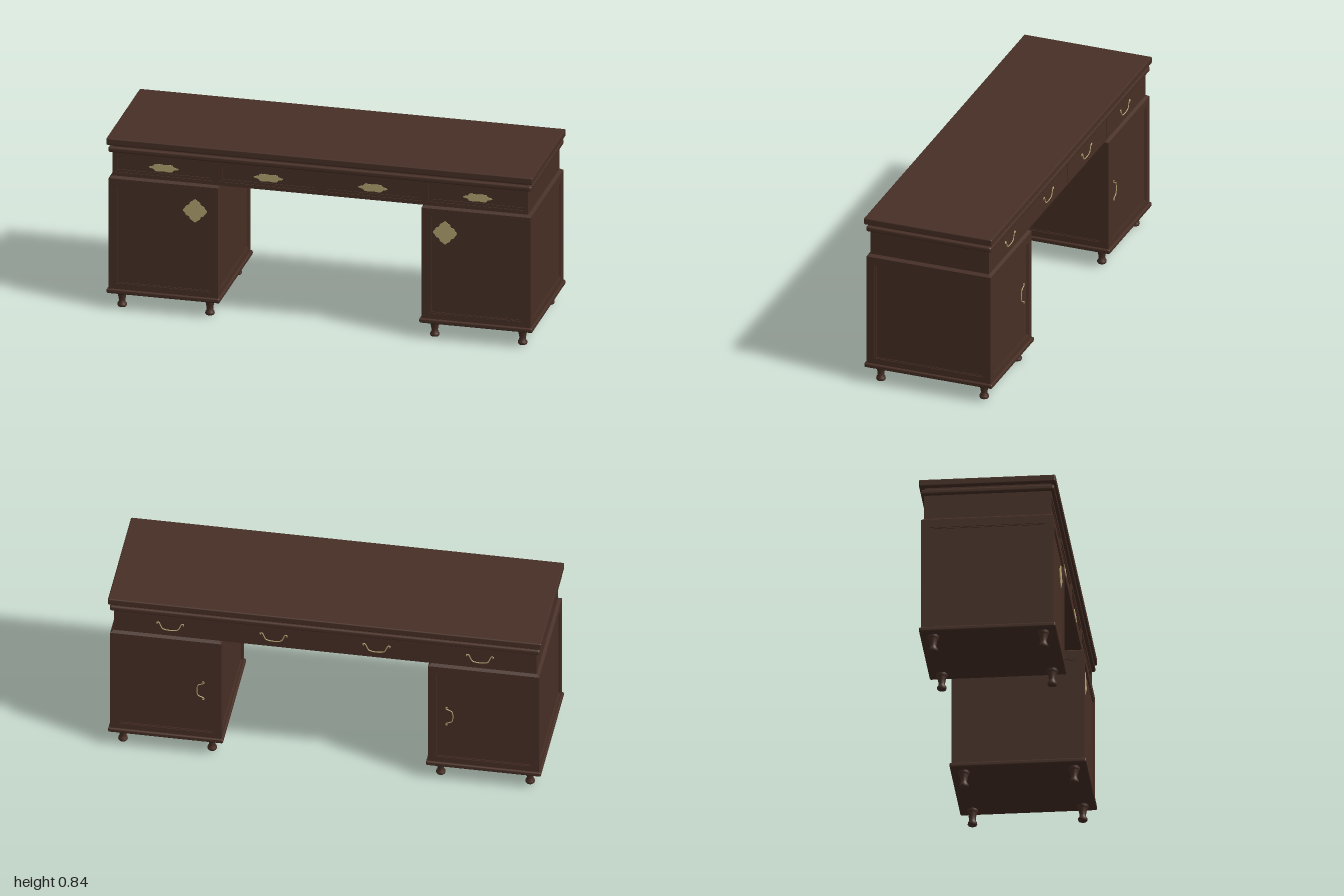
import * as THREE from 'three';
import { RoundedBoxGeometry } from 'three/addons/geometries/RoundedBoxGeometry.js';

const wood = new THREE.MeshStandardMaterial({ color: 0x472f25 });
wood.name = 'dark wood';
const brass = new THREE.MeshStandardMaterial({ color: 0xb5a572 });
brass.name = 'aged brass';

function add(parent, name, geometry, material, x = 0, y = 0, z = 0) {
  const mesh = new THREE.Mesh(geometry, material);
  mesh.name = name;
  mesh.position.set(x, y, z);
  parent.add(mesh);
  return mesh;
}

const box = (w, h, d) => new THREE.BoxGeometry(w, h, d);
const rounded = (w, h, d, r) => new RoundedBoxGeometry(w, h, d, 2, r);

function rectangle(Type, x0, y0, x1, y1) {
  return new Type([[x0, y0], [x1, y0], [x1, y1], [x0, y1]].map(p => new THREE.Vector2(...p)));
}

// Flat board lying in xy with rectangular openings
function framed(outer, holes, depth) {
  const shape = rectangle(THREE.Shape, ...outer);
  holes.forEach(h => shape.holes.push(rectangle(THREE.Path, ...h)));
  return new THREE.ExtrudeGeometry(shape, { depth, bevelEnabled: false });
}

const inset = (r, m) => [r[0] + m, r[1] + m, r[2] - m, r[3] - m];

// Box whose top is drawn in to a smaller rectangle
function taperedBox(w, h, d, topInset) {
  const g = box(w, h, d);
  const p = g.attributes.position;
  for (let i = 0; i < p.count; i++) {
    if (p.getY(i) > 0) {
      p.setX(i, p.getX(i) - Math.sign(p.getX(i)) * topInset);
      p.setZ(i, p.getZ(i) - Math.sign(p.getZ(i)) * topInset);
    }
  }
  g.computeVertexNormals();
  return g;
}

// Thin plate with an outline given by a radius rule
function plate(radius, sx, sy) {
  const points = [];
  for (let i = 0; i < 64; i++) {
    const a = i / 64 * Math.PI * 2;
    points.push(new THREE.Vector2(Math.cos(a) * radius(a) * sx, Math.sin(a) * radius(a) * sy));
  }
  return new THREE.ExtrudeGeometry(new THREE.Shape(points), { depth: 0.003, bevelEnabled: false });
}

// Slim swinging handle with curled ends
function bail() {
  const half = [[0.06, 0.012], [0.063, 0.02], [0.053, 0.021], [0.046, 0.008], [0.036, -0.012], [0.018, -0.018]];
  const path = [...half.map(([x, y]) => [-x, y]), ...half.reverse()];
  const curve = new THREE.CatmullRomCurve3(path.map(([x, y]) => new THREE.Vector3(x, y, 0)));
  return new THREE.TubeGeometry(curve, 40, 0.003, 6);
}

const LEG = [[0, 0], [0.019, 0], [0.022, 0.006], [0.021, 0.014], [0.016, 0.02], [0.015, 0.032],
  [0.018, 0.048], [0.021, 0.06], [0.022, 0.064], [0.026, 0.067], [0.026, 0.08]];

function pedestal(side) {
  const g = new THREE.Group();
  g.name = side > 0 ? 'leftPedestal' : 'rightPedestal';
  const w = 0.513, d = 0.606, t = 0.007;
  add(g, 'cabinet', box(w - 2 * t, 0.55, d - 2 * t), wood, 0, 0.365);
  add(g, 'cabinetCap', taperedBox(w, 0.01, d, 0.013), wood, 0, 0.645);
  add(g, 'baseMoulding', rounded(0.531, 0.022, 0.625, 0.007), wood, 0, 0.089);

  // Panelled frame on all four faces
  for (let i = 0; i < 4; i++) {
    const face = new THREE.Group();
    face.name = ['frontDoor', 'sidePanel', 'backDoor', 'sidePanel'][i];
    face.rotation.y = i * Math.PI / 2;
    g.add(face);
    const across = i % 2 ? d : w, reach = (i % 2 ? w : d) / 2 - t;
    const half = across / 2 - (i % 2 ? t : 0);
    const hole = [0.04 - across / 2, 0.128, across / 2 - 0.04, 0.6];
    add(face, 'frame', framed([-half, 0.09, half, 0.64], [hole], t), wood, 0, 0, reach);
    add(face, 'panelBead', framed(hole, [inset(hole, 0.005)], t / 2), wood, 0, 0, reach);
  }

  // Turned feet
  const foot = new THREE.LatheGeometry(LEG.map(p => new THREE.Vector2(...p)), 20);
  for (const x of [-0.206, 0.206]) for (const z of [-0.252, 0.252]) add(g, 'foot', foot, wood, x, 0, z);

  // Door fittings
  const rosette = plate(a => 0.048 + 0.006 * Math.cos(4 * a) + 0.002 * Math.cos(12 * a), 1, 1);
  add(g, 'doorPlate', rosette, brass, -side * 0.147, side > 0 ? 0.525 : 0.517, d / 2 - t);
  const handle = add(g, 'backDoorHandle', bail(), brass, -side * 0.158, 0.36, -d / 2 + t - 0.001);
  handle.rotation.z = side * Math.PI / 2;
  handle.scale.set(0.8, 0.8, 1);
  g.position.x = side * 0.7335;
  return g;
}

export function createModel() {
  const desk = new THREE.Group();
  desk.name = 'desk';

  // Top and mouldings
  add(desk, 'desktop', rounded(2, 0.033, 0.625, 0.006), wood, 0, 0.8215);
  add(desk, 'neck', box(1.95, 0.02, 0.576), wood, 0, 0.799);
  add(desk, 'upperMoulding', rounded(1.986, 0.026, 0.611, 0.009), wood, 0, 0.78);

  // Drawer case
  const t = 0.008;
  add(desk, 'drawerCase', box(1.95, 0.117, 0.58 - t), wood, 0, 0.7085, -t / 2);
  const centres = [-0.737, -0.245, 0.245, 0.737];
  const openings = centres.map(x => [x - 0.229, 0.668, x + 0.229, 0.748]);
  add(desk, 'drawerFrame', framed([-0.975, 0.65, 0.975, 0.767], openings, t), wood, 0, 0, 0.29 - t);

  const wing = plate(a => 1 + 0.12 * Math.cos(6 * a), 0.062, 0.018);
  const handle = bail();
  centres.forEach((x, i) => {
    const o = openings[i];
    add(desk, 'drawerBead', framed(o, [inset(o, 0.012)], t / 2), wood, 0, 0, 0.29 - t);
    add(desk, 'drawerPlate', wing, brass, x, 0.706, 0.29 - t);
    // Rear drawer fronts
    add(desk, 'rearDrawer', box(0.475, 0.105, 0.001), wood, x * 0.985, 0.7085, -0.2905);
    add(desk, 'rearDrawerHandle', handle, brass, x * 0.97, 0.7, -0.291);
  });

  desk.add(pedestal(1), pedestal(-1));
  return desk;
}
